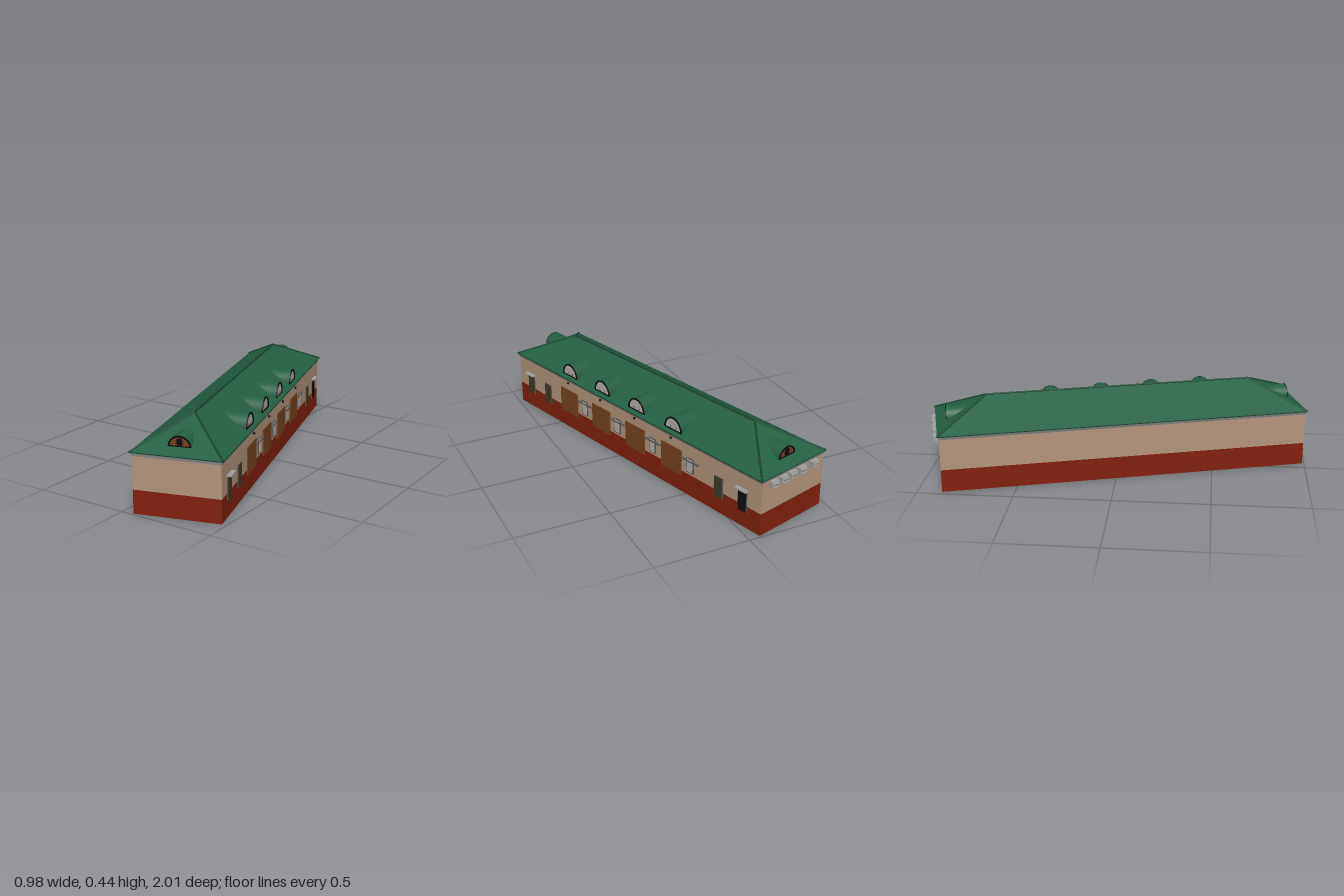
import * as THREE from 'three';
import { ParametricGeometry } from 'three/addons/geometries/ParametricGeometry.js';

const mat = (name, color, side = THREE.FrontSide) => {
  const m = new THREE.MeshStandardMaterial({ color, side });
  m.name = name;
  return m;
};

// Half sizes of the walls and the eaves, and the roof heights
const W = 0.216, L = 0.968, RW = 0.226, RL = 0.976;
const EAVE = 0.306, RIDGE = 0.438, RIDGE_L = 0.707;

export function createModel() {
  const M = {
    red: mat('red plinth', 0x83210f, THREE.DoubleSide),
    tan: mat('tan wall', 0xb4967e, THREE.DoubleSide),
    grey: mat('grey cornice', 0xa0a0a0, THREE.DoubleSide),
    green: mat('green roof', 0x245f43, THREE.DoubleSide),
    ridge: mat('dark green ridge', 0x1a452f),
    brown: mat('brown wood', 0x784420, THREE.DoubleSide),
    olive: mat('olive door', 0x413b29),
    pale: mat('pale window', 0xb8b4ae, THREE.DoubleSide),
    slate: mat('slate lintel', 0x5c5c5e),
    black: mat('black trim', 0x0e0e0e, THREE.DoubleSide),
  };
  const building = new THREE.Group();
  building.name = 'building';

  const add = (parent, name, geometry, material, x = 0, y = 0, z = 0) => {
    const mesh = new THREE.Mesh(geometry, material);
    mesh.name = name;
    mesh.position.set(x, y, z);
    parent.add(mesh);
    return mesh;
  };
  const box = (parent, name, material, w, h, d, x, y, z) =>
    add(parent, name, new THREE.BoxGeometry(w, h, d), material, x, y, z);

  // Flat-faced surface from corner points and triangles
  const facets = (points, index) => {
    let g = new THREE.BufferGeometry();
    g.setAttribute('position', new THREE.Float32BufferAttribute(points.flat(), 3));
    g.setIndex(index);
    g = g.toNonIndexed();
    g.computeVertexNormals();
    return g;
  };
  const corners = (w, l, y) => [[-w, y, l], [w, y, l], [w, y, -l], [-w, y, -l]];

  // Open rectangular band between two levels
  const band = (name, material, w0, l0, y0, w1, l1, y1) => {
    const index = [];
    for (let i = 0; i < 4; i++) {
      const j = (i + 1) % 4;
      index.push(i, j, j + 4, i, j + 4, i + 4);
    }
    add(building, name, facets([...corners(w0, l0, y0), ...corners(w1, l1, y1)], index), material);
  };
  band('plinth', M.red, W, L, 0, W, L, 0.12);
  band('walls', M.tan, W, L, 0.12, W, L, 0.288);
  band('cornice', M.grey, W, L, 0.285, RW - 0.002, RL - 0.002, 0.302);
  band('eaveEdge', M.ridge, RW, RL, 0.301, RW, RL, EAVE);

  // Hipped roof
  const eaves = corners(RW, RL, EAVE);
  const tops = [[0, RIDGE, RIDGE_L], [0, RIDGE, -RIDGE_L]];
  add(building, 'roof', facets([...eaves, ...tops],
    [0, 1, 4, 1, 2, 5, 1, 5, 4, 2, 3, 5, 3, 0, 4, 3, 4, 5]), M.green);

  // Ridge and hip caps
  const cap = (name, a, b) => {
    const p = new THREE.Vector3(...a), q = new THREE.Vector3(...b);
    const dir = q.clone().sub(p);
    const mesh = add(building, name, new THREE.CylinderGeometry(0.005, 0.005, dir.length(), 8), M.ridge);
    mesh.position.copy(p).add(q).multiplyScalar(0.5);
    mesh.quaternion.setFromUnitVectors(new THREE.Vector3(0, 1, 0), dir.normalize());
  };
  cap('ridgeCap', tops[0], tops[1]);
  eaves.forEach((e, i) => cap('hipCap', e, tops[i < 2 ? 0 : 1]));

  // Half-round dormer facing +z; its barrel ends where it meets the roof slope
  const arch = (r, h) => {
    const s = new THREE.Shape();
    s.moveTo(r, 0);
    s.absellipse(0, 0, r, h, 0, Math.PI, false);
    s.closePath();
    return s;
  };
  const dormer = (name, r, h, base, front, edge, run, panel) => {
    const g = new THREE.Group();
    g.name = name;
    const barrel = new ParametricGeometry((u, v, out) => {
      const a = u * Math.PI, y = base + h * Math.sin(a);
      const back = edge - run * (y - EAVE) / (RIDGE - EAVE);
      out.set(r * Math.cos(a), y, THREE.MathUtils.lerp(front, Math.min(front, back), v));
    }, 24, 1);
    add(g, 'dormerBarrel', barrel, M.green);
    add(g, 'dormerPanel', new THREE.ShapeGeometry(arch(r, h), 16), panel, 0, base, front - 0.002);
    const rim = arch(r, h);
    const hole = new THREE.Path();
    hole.absellipse(0, 0.004, r - 0.008, h - 0.012, 0, Math.PI, false);
    hole.closePath();
    rim.holes.push(hole);
    add(g, 'dormerRim', new THREE.ExtrudeGeometry(rim,
      { depth: 0.005, bevelEnabled: false, curveSegments: 16 }), M.black, 0, base, front - 0.001);
    return g;
  };

  // Dormers over the two hipped ends, with brown shutters
  for (const turn of [0, Math.PI]) {
    const d = dormer('endDormer', 0.056, 0.053, 0.335, 0.92, RL, RL - RIDGE_L, M.brown);
    box(d, 'shutterBars', M.black, 0.024, 0.034, 0.004, 0, 0.358, 0.921);
    for (const y of [0.35, 0.361]) box(d, 'shutterHinge', M.black, 0.036, 0.003, 0.004, 0, y, 0.921);
    d.rotation.y = turn;
    building.add(d);
  }

  // Long side: dormers, gates, lamps and the windows between them
  const gates = [0.494, 0.213, -0.068, -0.349];
  for (const u of gates) {
    const d = dormer('sideDormer', 0.063, 0.07, 0.32, 0.207, RW, RW, M.pale);
    for (const x of [-0.02, 0.02]) box(d, 'glazingBar', M.slate, 0.002, 0.016, 0.003, x, 0.332, 0.207);
    d.rotation.y = Math.PI / 2;
    d.position.z = u;
    building.add(d);

    box(building, 'gate', M.brown, 0.008, 0.14, 0.15, W + 0.002, 0.165, u);
    add(building, 'lamp', new THREE.SphereGeometry(0.007, 10, 8), M.black, W + 0.012, 0.285, u - 0.005);

    const v = u - 0.138;
    box(building, 'windowFrame', M.slate, 0.006, 0.084, 0.05, W + 0.002, 0.176, v);
    box(building, 'windowPane', M.pale, 0.008, 0.072, 0.038, W + 0.003, 0.176, v);
    box(building, 'windowLintel', M.slate, 0.012, 0.007, 0.125, W + 0.004, 0.202, v);
  }

  // Narrow doors, the outer two sheltered by canopies
  [[0.858, M.olive, true], [0.697, M.olive, false], [-0.687, M.olive, false], [-0.848, M.black, true]]
    .forEach(([u, material, sheltered]) => {
      box(building, 'doorFrame', M.slate, 0.005, 0.116, 0.06, W + 0.001, 0.143, u);
      box(building, 'door', material, 0.008, 0.112, 0.052, W + 0.002, 0.142, u);
      if (sheltered) box(building, 'doorCanopy', M.grey, 0.024, 0.007, 0.075, W + 0.011, 0.208, u);
    });

  // Small vents under the eave of the rear end
  for (const x of [0.147, 0.08, 0.017, -0.048, -0.138]) {
    box(building, 'ventBox', M.grey, 0.046, 0.034, 0.026, x, 0.267, -L - 0.011);
    box(building, 'ventFace', M.pale, 0.038, 0.026, 0.004, x, 0.267, -L - 0.024);
    box(building, 'ventSlat', M.slate, 0.03, 0.003, 0.004, x, 0.267, -L - 0.0255);
  }

  // The building stands turned on its plot
  building.rotation.y = THREE.MathUtils.degToRad(16.1);
  const model = new THREE.Group();
  model.name = 'longHall';
  model.add(building);
  return model;
}
